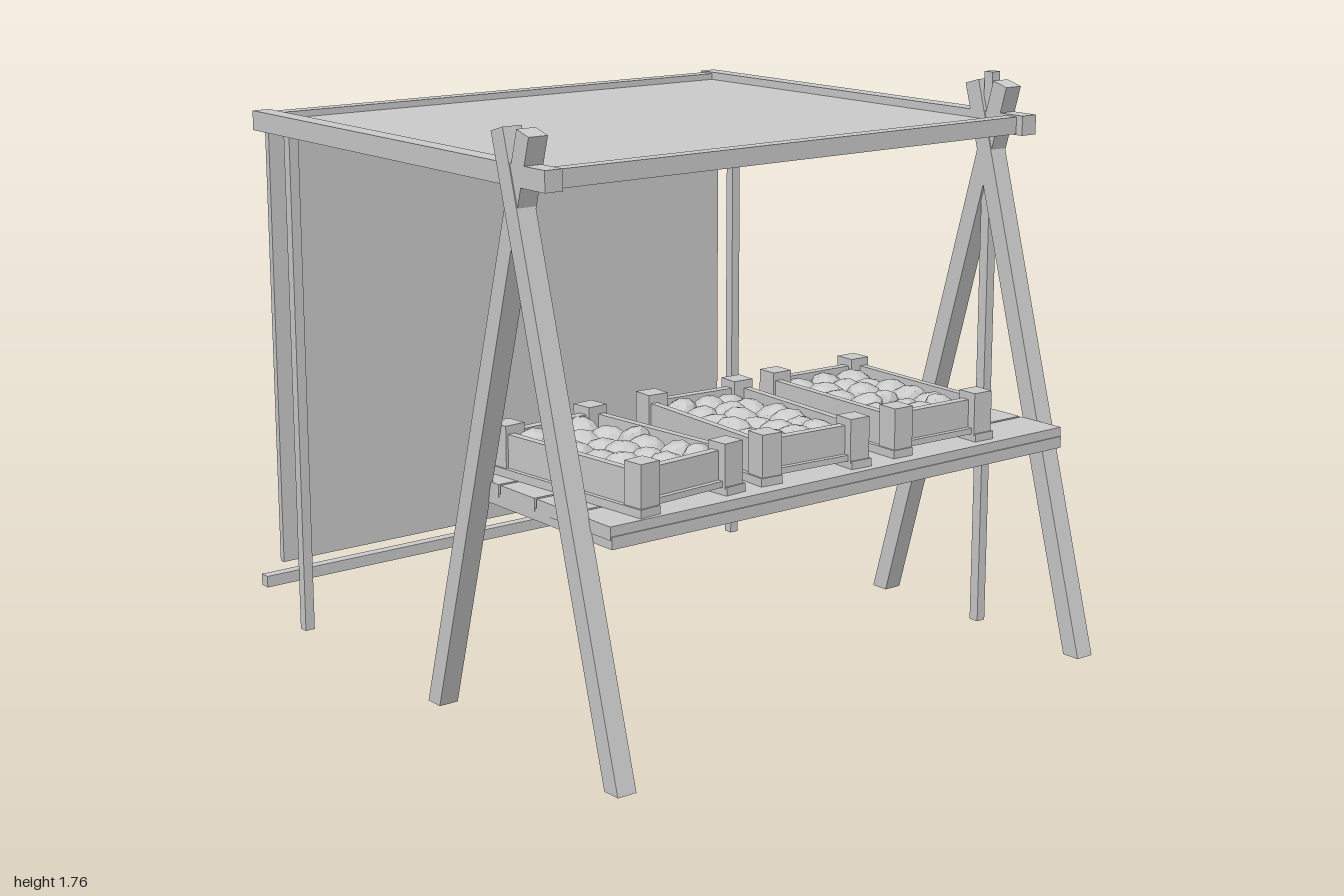
import * as THREE from 'three';

const mat = new THREE.MeshStandardMaterial({ color: 0xcccccc, flatShading: true });

export function createModel() {
  const model = new THREE.Group();
  model.name = 'marketStall';

  const add = (parent, name, geometry) => {
    const mesh = new THREE.Mesh(geometry, mat);
    mesh.name = name;
    parent.add(mesh);
    return mesh;
  };
  // Box given by its extents on each axis
  const box = (parent, name, [x0, x1], [y0, y1], [z0, z1]) => {
    const mesh = add(parent, name, new THREE.BoxGeometry(x1 - x0, y1 - y0, z1 - z0));
    mesh.position.set((x0 + x1) / 2, (y0 + y1) / 2, (z0 + z1) / 2);
    return mesh;
  };

  // Leaning leg: flat foot on the ground, top end cut square to its length
  const apexZ = 0.473;
  const leg = (name, x, lean) => {
    const dz = 0.452, h = 1.727, half = 0.029;
    const len = Math.hypot(dz + 0.04, h);
    const ux = -(dz + 0.04) / len, uy = h / len;
    const foot = half / uy, fx = dz - 0.018, tx = fx - dz - 0.04;
    const shape = new THREE.Shape([
      new THREE.Vector2(fx + foot, 0),
      new THREE.Vector2(tx + uy * half, h - ux * half),
      new THREE.Vector2(tx - uy * half, h + ux * half),
      new THREE.Vector2(fx - foot, 0),
    ]);
    const g = new THREE.ExtrudeGeometry(shape, { depth: 0.062, bevelEnabled: false });
    g.translate(0, 0, -0.031);
    g.rotateY(lean > 0 ? -Math.PI / 2 : Math.PI / 2);
    add(model, name, g).position.set(x, 0, apexZ);
  };

  // A-frames, side beams and back posts on both sides
  for (const [side, x] of [['left', 0.874], ['right', -0.888]]) {
    leg(side + 'FrontLeg', x, 1);
    leg(side + 'RearLeg', x + 0.003, -1);
    box(model, side + 'RoofBeam', [x - 0.028, x + 0.03], [1.58, 1.64], [-0.92, 0.63]);
    const px = Math.sign(x) * 0.87;
    box(model, side + 'BackPost', [px - 0.016, px + 0.016], [0, 1.58], [-0.786, -0.754]);
  }
  box(model, 'leftCentrePost', [0.854, 0.886], [0, 1.76], [0.457, 0.491]);

  // Roof frame and cloths
  box(model, 'frontCrossbar', [-0.87, 0.86], [1.583, 1.635], [0.56, 0.605]);
  box(model, 'backCrossbar', [-0.87, 0.86], [1.583, 1.635], [-0.91, -0.86]);
  box(model, 'roofCloth', [-0.87, 0.86], [1.603, 1.615], [-0.87, 0.57]);
  box(model, 'backCloth', [-0.89, 0.885], [0.2, 1.6], [-0.893, -0.872]);
  box(model, 'backRail', [-1, 1], [0.16, 0.196], [-0.818, -0.783]);

  // Table of four planks on a base board
  box(model, 'tableBase', [-0.858, 0.843], [0.65, 0.685], [0.145, 0.835]);
  for (let i = 0; i < 4; i++) {
    const z = 0.145 + i * 0.174;
    box(model, 'tablePlank', [-0.86, 0.845], [0.675, 0.713], [z, z + 0.164]);
  }

  // Seeded numbers for the uneven produce
  let seed = 7;
  const rand = () => (seed = (seed * 16807) % 2147483647) / 2147483647;

  const crate = (x, z, angle) => {
    const c = new THREE.Group();
    c.name = 'crate';
    const W = 0.19, D = 0.315, P = 0.068;
    // Floor on two runners
    box(c, 'crateFloor', [-W + 0.01, W - 0.01], [0.022, 0.04], [-D + 0.01, D - 0.01]);
    for (const s of [-1, 1]) {
      const m = s * (W - 0.03);
      box(c, 'crateRunner', [m - 0.036, m + 0.036], [0, 0.024], [-D - 0.005, D + 0.005]);
      // Long and short walls
      const wx = s * (W - 0.02), wz = s * (D - 0.04);
      box(c, 'crateSideWall', [wx - 0.012, wx + 0.012], [0.024, 0.122], [-D + 0.03, D - 0.03]);
      box(c, 'crateEndWall', [-W + 0.03, W - 0.03], [0.024, 0.124], [wz - 0.014, wz + 0.014]);
      for (const t of [-1, 1]) {
        const cx = s * (W - P / 2), cz = t * (D - P / 2);
        box(c, 'crateCornerPost', [cx - P / 2, cx + P / 2], [0.018, 0.147], [cz - P / 2, cz + P / 2]);
      }
    }
    // Heap of lumpy produce
    for (let i = 0; i < 3; i++) for (let j = 0; j < 6; j++) {
      const lump = add(c, 'produce', new THREE.IcosahedronGeometry(0.056, 1));
      lump.position.set((i - 1) * 0.095 + (rand() - 0.5) * 0.02, 0.072 + rand() * 0.014,
        (j - 2.5) * 0.088 + (rand() - 0.5) * 0.03);
      lump.scale.set(1.1, 0.75, 0.9 + rand() * 0.2);
      lump.rotation.set(rand() - 0.5, rand() * 6, rand() - 0.5);
    }
    c.position.set(x, 0.713, z);
    c.rotation.y = angle;
    model.add(c);
  };
  crate(-0.585, 0.485, 0.09);
  crate(-0.085, 0.475, -0.06);
  crate(0.4, 0.475, -0.03);

  return model;
}
